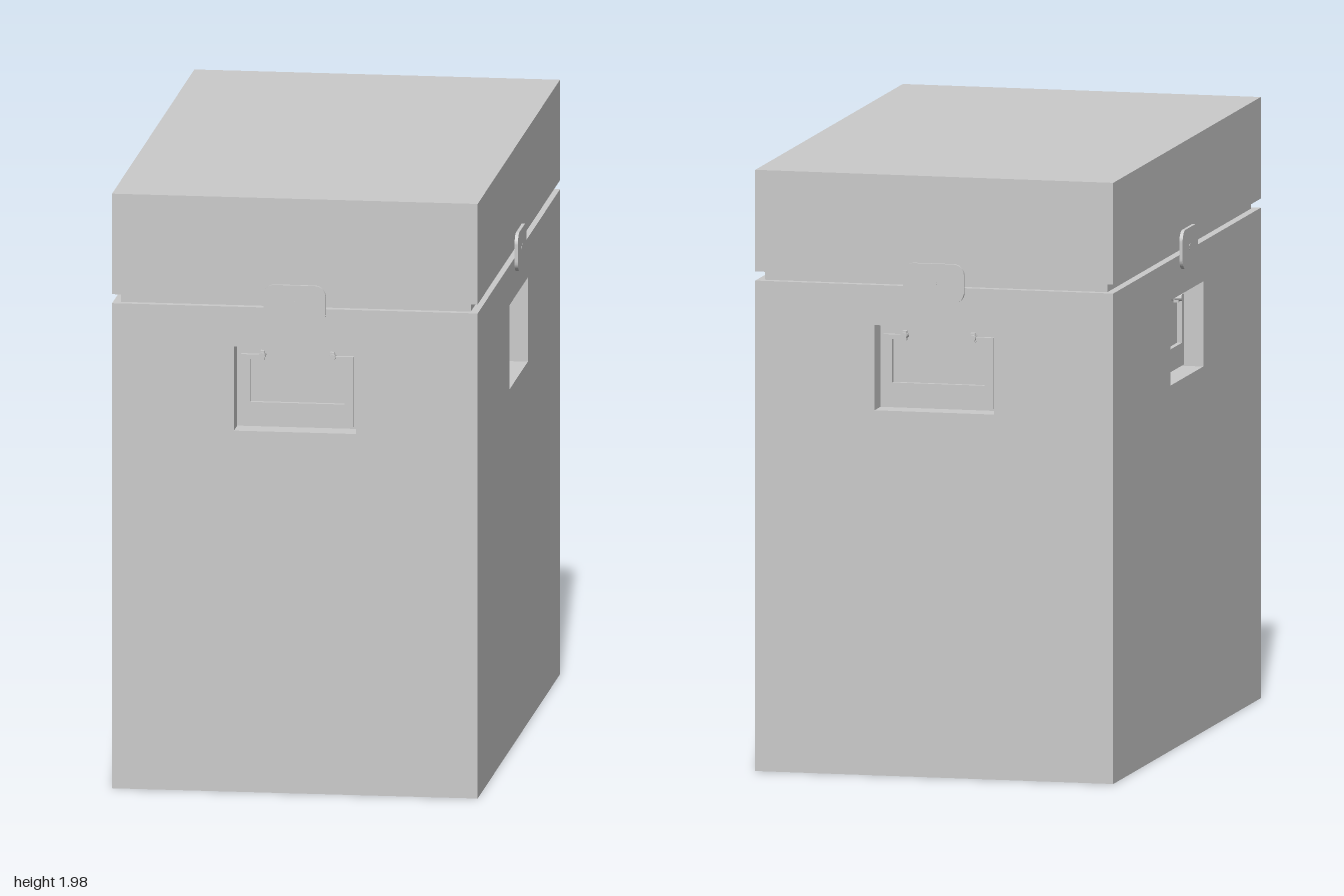
import * as THREE from 'three';

const W = 1.2, D = 1.976, H = 1.976;      // case size
const SEAM_LOW = 1.612, SEAM_HIGH = 1.642, SEAM_DEPTH = 0.026;
const RECESS = 0.08;                      // wall thickness and recess depth

const material = new THREE.MeshStandardMaterial({ color: 0xcccccc, flatShading: true });

function mesh(name, geometry, x = 0, y = 0, z = 0) {
  const m = new THREE.Mesh(geometry, material);
  m.name = name;
  m.position.set(x, y, z);
  return m;
}

function block(name, w, y0, y1, d) {
  return mesh(name, new THREE.BoxGeometry(w, y1 - y0, d), 0, (y0 + y1) / 2, 0);
}

function polygon(points, Type = THREE.Shape) {
  return new Type(points.map(([x, y]) => new THREE.Vector2(x, y)));
}

function rect(x, y0, y1, Type) {
  return polygon([[-x, y0], [x, y0], [x, y1], [-x, y1]], Type);
}

function extrude(shape, depth) {
  return new THREE.ExtrudeGeometry(shape, { depth, bevelEnabled: false, curveSegments: 6 });
}

// Wall panel with an open window for the handle recess
function wallGeometry(width, recessHalf) {
  const shape = rect(width / 2, 0, SEAM_LOW);
  shape.holes.push(rect(recessHalf, 1.2, 1.48, THREE.Path));
  return extrude(shape, RECESS);
}

// Flat drop handle: wide grip, slim arms and hooked ends
function handleGeometry() {
  const half = [[0.185, 1.21], [0.185, 1.443], [0.125, 1.443], [0.121, 1.456],
    [0.107, 1.456], [0.107, 1.424], [0.121, 1.424], [0.127, 1.43], [0.155, 1.428], [0.155, 1.285]];
  const mirrored = half.map(([x, y]) => [-x, y]).reverse();
  return extrude(polygon([...half, ...mirrored]), 0.016);
}

// Rounded latch plate
function latchGeometry(depth) {
  const x = 0.102, y = 0.064, r = 0.036, s = new THREE.Shape();
  s.absarc(x - r, y - r, r, 0, Math.PI / 2);
  s.absarc(-x + r, y - r, r, Math.PI / 2, Math.PI);
  s.absarc(-x + r, -y + r, r, Math.PI, Math.PI * 1.5);
  s.absarc(x - r, -y + r, r, Math.PI * 1.5, Math.PI * 2);
  return extrude(s, depth);
}

function disc(name, radius, length, x, y, z) {
  const geometry = new THREE.CylinderGeometry(radius, radius, length, 12).rotateX(Math.PI / 2);
  return mesh(name, geometry, x, y, z);
}

// One side of the case, built facing +z and then turned into place
function createSide(name, panelWidth, distance, recessHalf, angle) {
  const side = new THREE.Group();
  side.name = name;
  const back = distance - RECESS;
  side.add(
    mesh('wall', wallGeometry(panelWidth, recessHalf), 0, 0, back),
    mesh('handle', handleGeometry(), 0, 0, back + 0.008),
    mesh('latch', latchGeometry(0.011), 0, 1.626, distance),
    disc('latchRivet', 0.012, 0.01, 0, 1.626, distance + 0.007)
  );
  for (const s of [-1, 1]) side.add(disc('handlePeg', 0.011, 0.036, s * 0.115, 1.44, back + 0.017));
  side.rotation.y = angle;
  return side;
}

export function createModel() {
  const model = new THREE.Group();
  model.name = 'storageCase';

  // Inner core, recessed seam and lid
  model.add(
    block('core', W - 2 * RECESS, 0, SEAM_LOW, D - 2 * RECESS),
    block('seam', W - 2 * SEAM_DEPTH, SEAM_LOW - 0.005, SEAM_HIGH + 0.005, D - 2 * SEAM_DEPTH),
    block('lid', W, SEAM_HIGH, H, D)
  );

  // Four walls with recessed handles and latches
  model.add(
    createSide('front', W, D / 2, 0.2, 0),
    createSide('back', W, D / 2, 0.2, Math.PI),
    createSide('left', D - 2 * RECESS, W / 2, 0.218, Math.PI / 2),
    createSide('right', D - 2 * RECESS, W / 2, 0.218, -Math.PI / 2)
  );
  return model;
}
